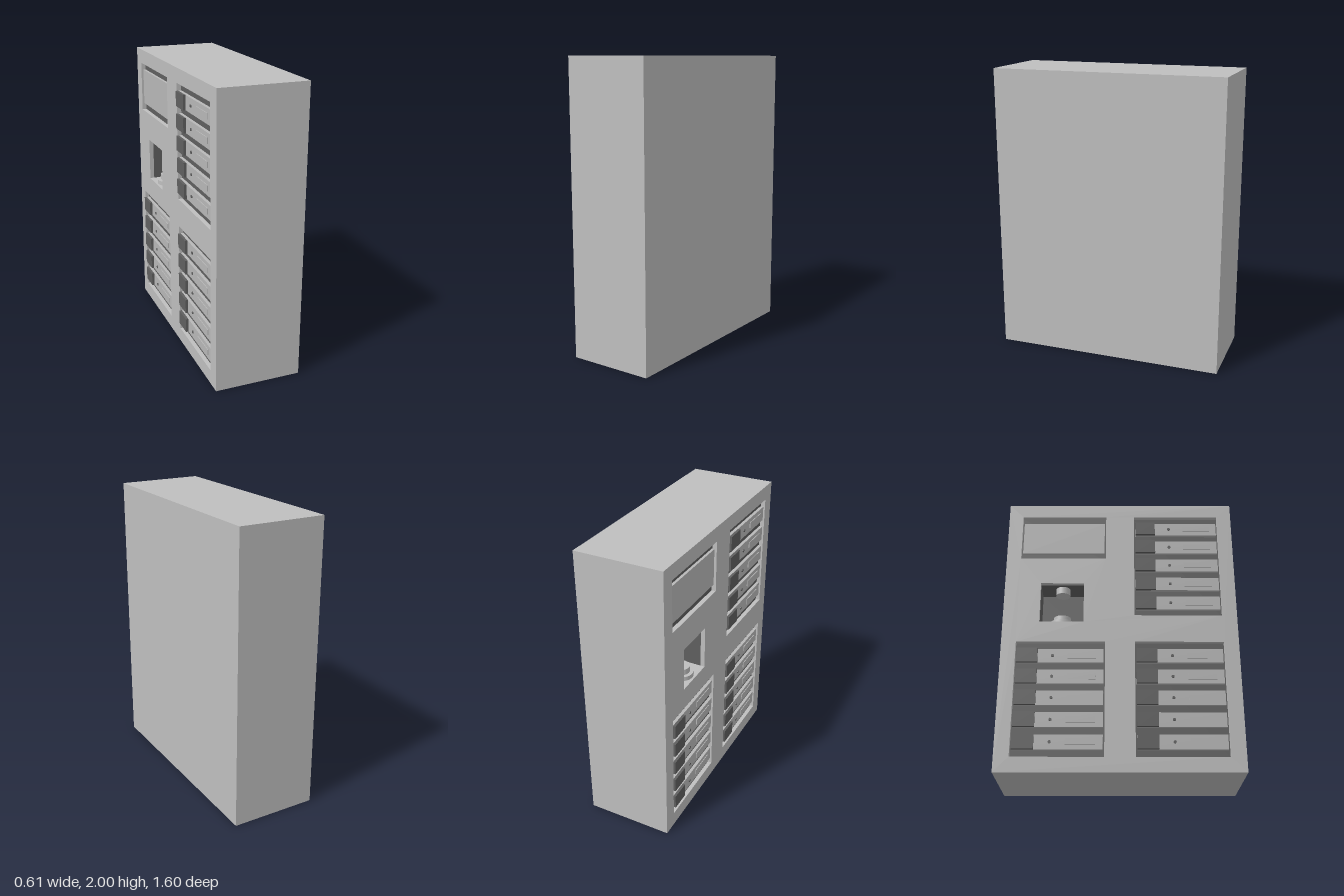
import * as THREE from 'three';

const FACE = -0.297, BACK = 0.303, RECESS = 0.03;
const mat = (name, color) => Object.assign(new THREE.MeshStandardMaterial({ color }), { name });

export function createModel() {
  const root = new THREE.Group();
  root.name = 'lockerCabinet';
  const body = mat('bodyGrey', 0xbfbfbf);
  const dark = mat('darkGrey', 0x606060);
  const door = mat('drawerGrey', 0xb8b8b8);

  const add = (name, geo, material, parent = root) => {
    const m = new THREE.Mesh(geo, material);
    m.name = name;
    parent.add(m);
    return m;
  };
  // solid box given by its limits
  const box = (x0, x1, y0, y1, z0, z1) => new THREE.BoxGeometry(x1 - x0, y1 - y0, z1 - z0)
    .translate((x0 + x1) / 2, (y0 + y1) / 2, (z0 + z1) / 2);
  // keep some box sides (0 +x, 1 -x, 2 +y, 3 -y, 4 +z, 5 -z), optionally turned inside out
  const sides = (geo, keep, inward) => {
    const src = geo.index.array, out = [];
    for (const f of keep) for (let i = f * 6; i < f * 6 + 6; i += 3) {
      out.push(src[i], src[i + (inward ? 2 : 1)], src[i + (inward ? 1 : 2)]);
    }
    geo.setIndex(out);
    geo.clearGroups();
    geo.computeVertexNormals();
    return geo;
  };

  // openings in the working side: [name, z0, z1, y0, y1]
  const screen = ['screen', -0.7, -0.1, 1.55, 1.9];
  const tray = ['tray', -0.55, -0.25, 1.05, 1.35];
  const banks = [
    ['lowerBankA', -0.7, -0.1, 0.1, 0.9],
    ['lowerBankB', 0.1, 0.7, 0.1, 0.9],
    ['upperBankB', 0.1, 0.7, 1.1, 1.9],
  ];

  // cabinet shell and its pierced panel
  add('cabinetShell', sides(box(FACE, BACK, 0, 2, -0.8, 0.8), [0, 2, 3, 4, 5]), body);
  const rect = (C, z0, z1, y0, y1) => new C([
    new THREE.Vector2(z0, y0), new THREE.Vector2(z1, y0),
    new THREE.Vector2(z1, y1), new THREE.Vector2(z0, y1)]);
  const panel = rect(THREE.Shape, -0.8, 0.8, 0, 2);
  for (const [, ...r] of [screen, tray, ...banks]) panel.holes.push(rect(THREE.Path, ...r));
  add('frontPanel', new THREE.ShapeGeometry(panel).rotateY(-Math.PI / 2).translate(FACE, 0, 0), body);

  // rims of the openings, with a dark back where they are shallow
  for (const [name, z0, z1, y0, y1] of [screen, tray, ...banks]) {
    const b = () => box(FACE, FACE + RECESS, y0, y1, z0, z1);
    add(name + 'Rim', sides(b(), [2, 3, 4, 5], true), body);
    if (name !== 'tray') add(name + 'Back', sides(b(), [0], true), dark);
  }

  // display
  add('display', box(FACE + 0.012, FACE + RECESS, 1.6, 1.85, -0.69, -0.11), door);

  // deep tray with a stepped pedestal and an overhead sensor
  const inner = () => box(FACE + RECESS, FACE + 0.2, 1.05, 1.35, -0.55, -0.25);
  add('trayWalls', sides(inner(), [0, 2, 4, 5], true), dark);
  add('trayFloor', sides(inner(), [3], true), body);
  const post = (name, r, y0, y1) => add(name,
    new THREE.CylinderGeometry(r, r, y1 - y0, 32).translate(FACE + 0.1, (y0 + y1) / 2, -0.4), body);
  post('pedestalBase', 0.085, 1.05, 1.08);
  post('pedestalTop', 0.06, 1.08, 1.12);
  post('overheadSensor', 0.05, 1.3, 1.35);

  // five drawers in each bank
  for (const [name, z0, z1, y0] of banks) {
    for (let i = 0; i < 5; i++) {
      const g = new THREE.Group();
      g.name = `${name}Drawer${i + 1}`;
      root.add(g);
      const y = y0 + 0.05 + i * 0.15, f = FACE + 0.008;
      add('drawerFront', box(f, FACE + RECESS, y, y + 0.1, z0 + 0.01, z1 - 0.01), door, g);
      add('darkBlock', box(FACE - 0.01, f + 0.001, y, y + 0.1, z0 + 0.01, z0 + 0.15), dark, g);
      add('drawerGrip', box(f - 0.005, f, y + 0.03, y + 0.07, z0 + 0.35, z0 + 0.54), door, g);
      add('lockButton', new THREE.CylinderGeometry(0.01, 0.01, 0.006, 16)
        .rotateZ(Math.PI / 2).translate(f - 0.003, y + 0.05, z0 + 0.25), dark, g);
    }
  }
  return root;
}
